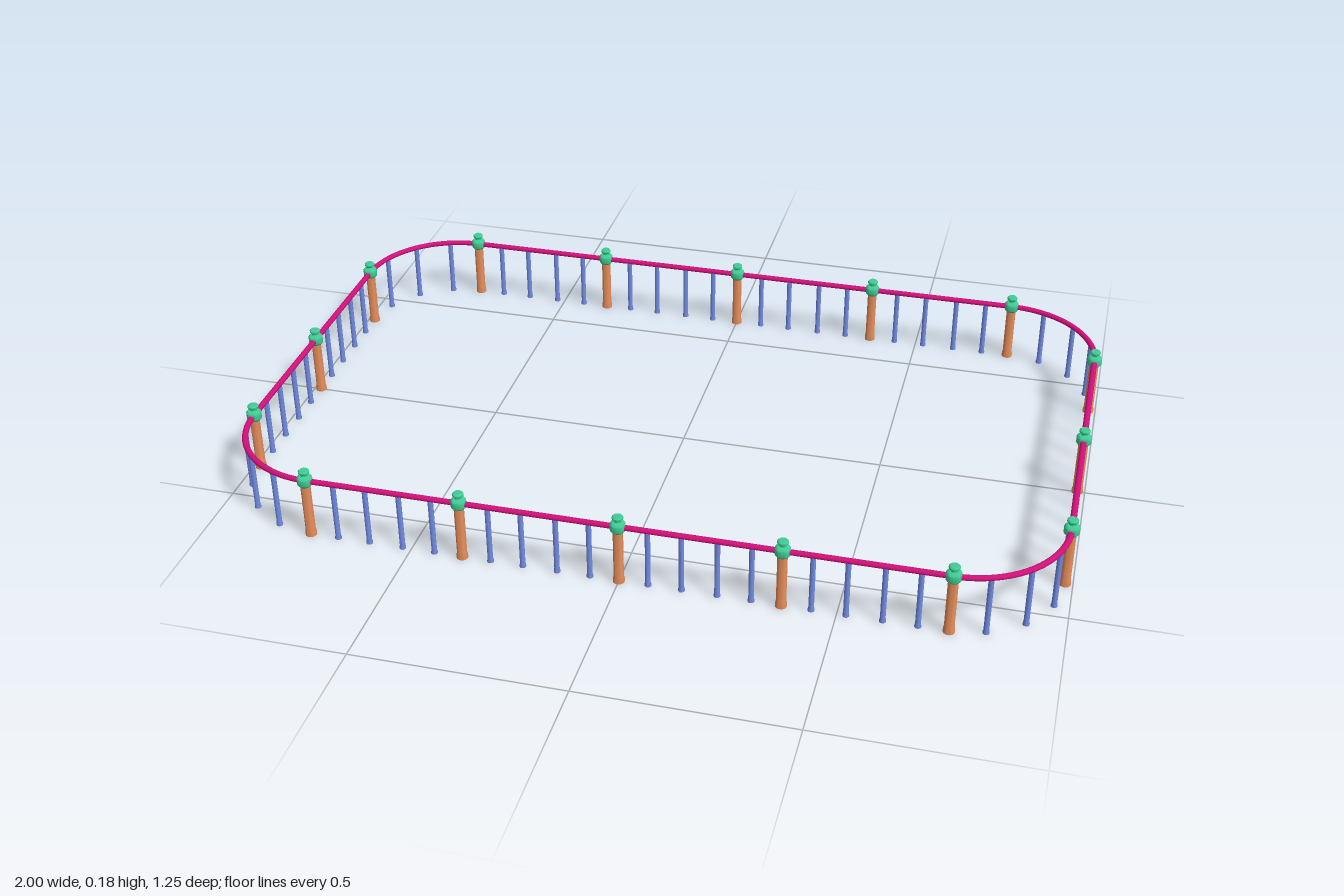
import * as THREE from 'three';
import { toCreasedNormals } from 'three/addons/utils/BufferGeometryUtils.js';

const HX = 0.982, HZ = 0.609, R = 0.233; // rail half sizes and corner radius
const RAIL_Y = 0.151;

const material = (name, color) => {
  const m = new THREE.MeshStandardMaterial({ color });
  m.name = name;
  return m;
};

// Round turned part: smooth around, sharp at the steps of its profile
const turned = (points, sides) => toCreasedNormals(
  new THREE.LatheGeometry(points.map(([r, y]) => new THREE.Vector2(r, y)), sides), 0.7);

// Closed rounded rectangle followed by the rail
class RailCurve extends THREE.Curve {
  constructor() {
    super();
    const cx = HX - R, cz = HZ - R, q = Math.PI / 2;
    this.outline = new THREE.Path();
    this.outline.moveTo(HX, 0);
    [[cx, cz], [-cx, cz], [-cx, -cz], [cx, -cz]].forEach(([x, z], i) =>
      this.outline.absarc(x, z, R, i * q, (i + 1) * q, false));
    this.outline.lineTo(HX, 0);
  }
  getPoint(t, target = new THREE.Vector3()) {
    const p = this.outline.getPoint(t);
    return target.set(p.x, 0, p.y);
  }
}

export function createModel() {
  const group = new THREE.Group();
  const orange = material('post orange', 0xe48c5a);
  const blue = material('baluster blue', 0x7089e0);
  const magenta = material('rail magenta', 0xd2107a);
  const green = material('cap green', 0x40cc94);

  const add = (name, geometry, mat, x, y, z) => {
    const mesh = new THREE.Mesh(geometry, mat);
    mesh.name = name;
    mesh.position.set(x, y, z);
    group.add(mesh);
  };

  // Slightly flattened rail
  const railGeo = new THREE.TubeGeometry(new RailCurve(), 280, 0.0075, 12, true);
  railGeo.scale(1, 0.85, 1);
  add('handrail', railGeo, magenta, 0, RAIL_Y, 0);

  // Post with a flared foot
  const postGeo = turned([[0, 0], [0.0135, 0], [0.0135, 0.008], [0.0118, 0.016],
    [0.0118, 0.142], [0, 0.142]], 16);
  // Collar gripping the rail, with a neck and a small knob above
  const capGeo = turned([[0, 0.139], [0.014, 0.139], [0.018, 0.144], [0.018, 0.160],
    [0.014, 0.165], [0.009, 0.167], [0.009, 0.170], [0.013, 0.174], [0.013, 0.178],
    [0.010, 0.181], [0, 0.181]], 16);
  const balusterGeo = turned([[0, 0], [0.0078, 0], [0.0078, 0.004], [0.0064, 0.010],
    [0.0064, 0.149], [0, 0.149]], 12);

  const post = (x, z) => {
    add('post', postGeo, orange, x, 0, z);
    add('postCap', capGeo, green, x, 0, z);
  };
  const baluster = (x, z) => add('baluster', balusterGeo, blue, x, 0, z);

  // Straight runs: posts with four balusters in each bay
  const spread = [-0.119, -0.041, 0.041, 0.119];
  const run = (half, bays, place) => {
    const pitch = 2 * half / bays;
    for (let i = 0; i <= bays; i++) {
      const u = -half + i * pitch;
      place(post, u);
      if (i < bays) spread.forEach(d => place(baluster, u + pitch / 2 + d));
    }
  };
  for (const s of [-1, 1]) {
    run(HX - R, 4, (part, u) => part(u, s * HZ));
    run(HZ - R, 2, (part, u) => part(s * HX, u));
  }

  // Three balusters around each corner, turned a little to alternate sides
  for (const sx of [-1, 1]) for (const sz of [-1, 1]) for (const deg of [21, 45, 69]) {
    const a = THREE.MathUtils.degToRad(deg + sx * sz);
    baluster(sx * (HX - R + R * Math.cos(a)), sz * (HZ - R + R * Math.sin(a)));
  }
  return group;
}
